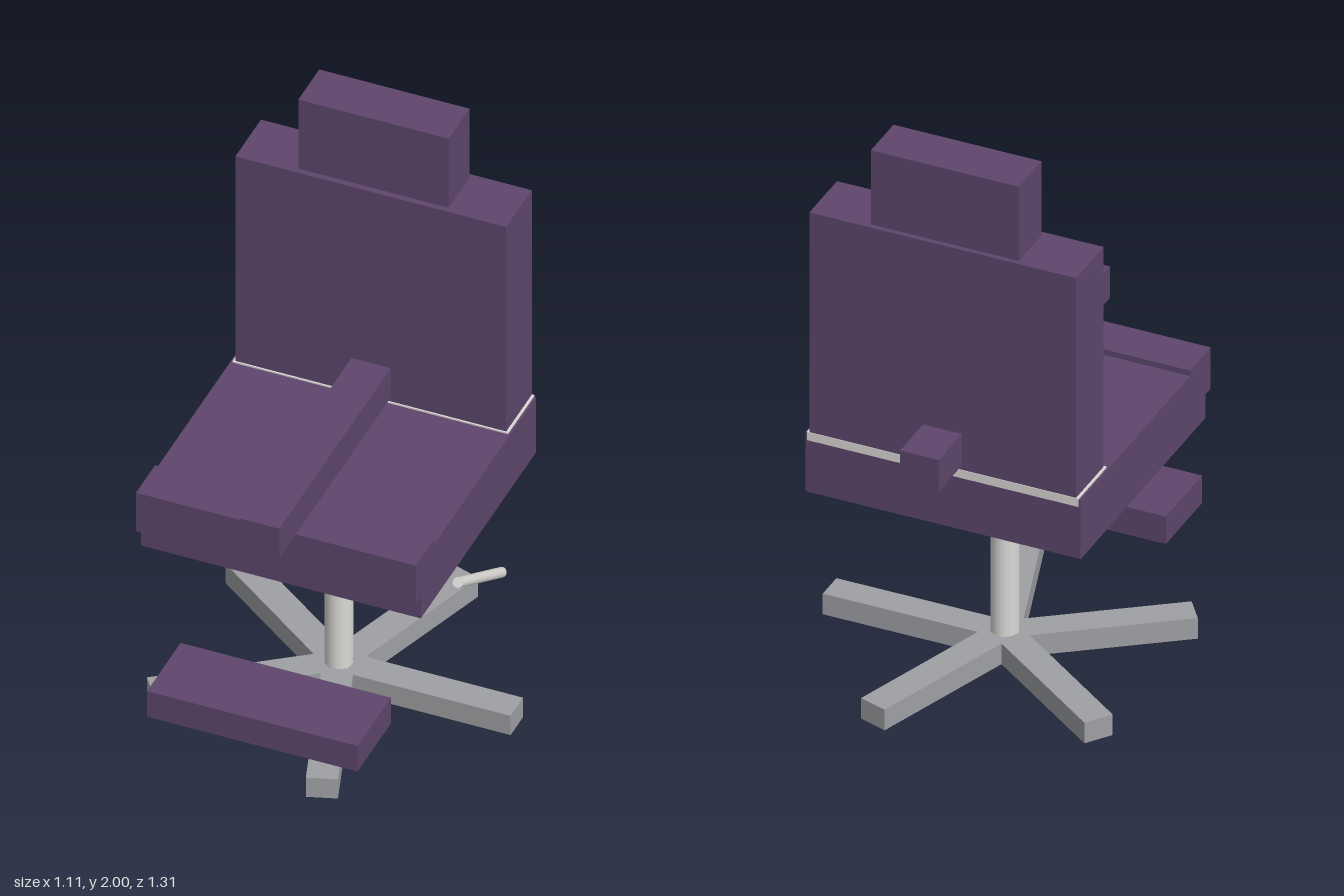
import * as THREE from 'three';

export function createModel() {
  const model = new THREE.Group();
  model.name = 'swivelChair';

  const material = (name, color) => {
    const m = new THREE.MeshStandardMaterial({ color });
    m.name = name;
    return m;
  };
  const purple = material('purple upholstery', 0x5e466c);
  const grey = material('grey base', 0x9fa0a4);
  const silver = material('light metal', 0xdad9d6);

  const add = (name, geometry, mat, parent = model) => {
    const mesh = new THREE.Mesh(geometry, mat);
    mesh.name = name;
    parent.add(mesh);
    return mesh;
  };
  // Box given by its minimum and maximum on each axis
  const block = (name, mat, [x0, x1], [y0, y1], [z0, z1], parent) => {
    const mesh = add(name, new THREE.BoxGeometry(x1 - x0, y1 - y0, z1 - z0), mat, parent);
    mesh.position.set((x0 + x1) / 2, (y0 + y1) / 2, (z0 + z1) / 2);
    return mesh;
  };
  // Round bar between two points
  const rod = (name, mat, from, to, radius) => {
    const a = new THREE.Vector3(...from), b = new THREE.Vector3(...to);
    const mesh = add(name, new THREE.CylinderGeometry(radius, radius, a.distanceTo(b), 32), mat);
    mesh.position.copy(a).add(b).multiplyScalar(0.5);
    mesh.quaternion.setFromUnitVectors(new THREE.Vector3(0, 1, 0), b.sub(a).normalize());
    return mesh;
  };

  // Seat with its raised front lip
  block('seat', purple, [-0.515, 0.425], [0.71, 0.925], [-0.485, 0.425]);
  block('seatLip', purple, [-0.515, 0.425], [0.795, 0.945], [0.315, 0.465]);

  // Backrest on a thin metal plate, and headrest
  block('backPlate', silver, [-0.508, 0.418], [0.9, 0.93], [-0.489, -0.28]);
  block('backrest', purple, [-0.5, 0.41], [0.93, 1.73], [-0.487, -0.285]);
  block('headrest', purple, [-0.297, 0.208], [1.73, 2.0], [-0.47, -0.305]);

  // Bar running through the backrest and over the seat
  block('centreBar', purple, [-0.11, 0.022], [0.945, 1.06], [-0.655, 0.595]);

  // Footrest floating ahead of the base
  block('footrest', purple, [-0.397, 0.31], [0.24, 0.34], [0.39, 0.655]);

  // Post and height lever
  const cx = -0.045, cz = -0.033;
  rod('post', silver, [cx, 0.05, cz], [cx, 0.712, cz], 0.045);
  rod('lever', silver, [0.46, 0.711, 0.215], [0.46, 0.505, -0.13], 0.017);

  // Five-armed base with a small round pad under each arm
  const base = new THREE.Group();
  base.name = 'base';
  base.position.set(cx, 0, cz);
  model.add(base);
  for (let i = 0; i < 5; i++) {
    const arm = new THREE.Group();
    arm.name = 'baseArm';
    arm.rotation.y = (i * Math.PI * 2) / 5;
    base.add(arm);
    block('armBeam', grey, [0.04, 0.598], [0.001, 0.076], [-0.05, 0.05], arm);
    const pad = add('footPad', new THREE.CylinderGeometry(0.028, 0.028, 0.006, 20), purple, arm);
    pad.position.set(0.4, 0.003, 0);
  }

  return model;
}
